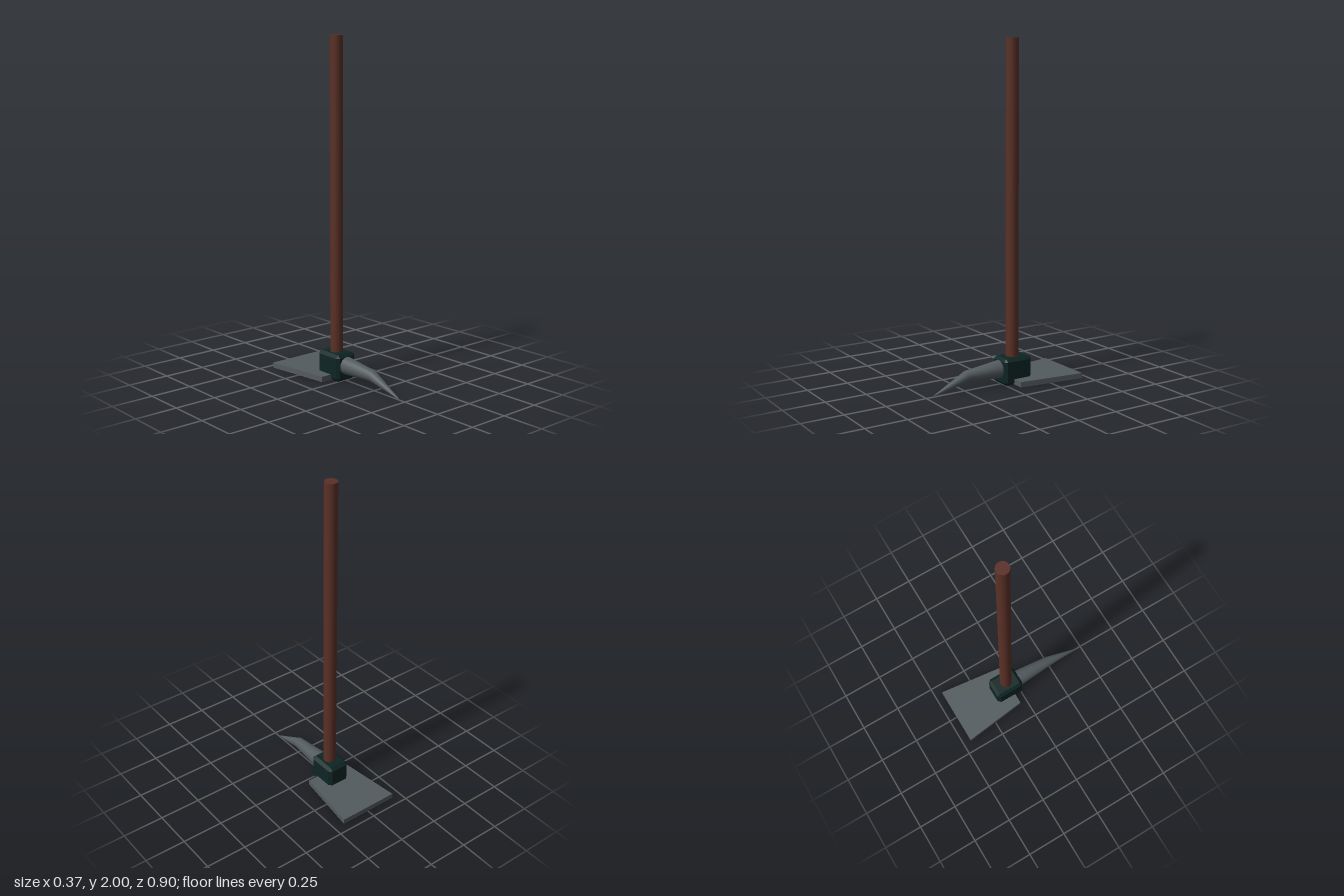
import * as THREE from 'three';
import { ConvexGeometry } from 'three/addons/geometries/ConvexGeometry.js';

const mat = (name, color, opts = {}) => {
  const m = new THREE.MeshStandardMaterial({ color, ...opts });
  m.name = name;
  return m;
};

// Box with every edge cut at 45 degrees
function chamferedBox(w, h, d, c) {
  const pts = [];
  for (const sx of [-1, 1]) for (const sy of [-1, 1]) for (const sz of [-1, 1]) {
    const x = w / 2, y = h / 2, z = d / 2;
    pts.push(
      new THREE.Vector3(sx * x, sy * (y - c), sz * (z - c)),
      new THREE.Vector3(sx * (x - c), sy * y, sz * (z - c)),
      new THREE.Vector3(sx * (x - c), sy * (y - c), sz * z));
  }
  return new ConvexGeometry(pts);
}

// Tapered horn: rings of [z, y, radius, tilt], closed at both ends
function horn(rings, sides) {
  const pos = [], idx = [];
  for (const [z, y, r, tilt] of rings) {
    for (let i = 0; i < sides; i++) {
      const a = (i / sides) * Math.PI * 2, v = Math.sin(a) * r;
      pos.push(Math.cos(a) * r, y + v * Math.cos(tilt), z + v * Math.sin(tilt));
    }
  }
  for (let k = 0; k < rings.length - 1; k++) {
    for (let i = 0; i < sides; i++) {
      const j = (i + 1) % sides, a = k * sides, b = a + sides;
      idx.push(a + i, a + j, b + j, a + i, b + j, b + i);
    }
  }
  const last = (rings.length - 1) * sides;
  for (let i = 1; i < sides - 1; i++) {
    idx.push(0, i + 1, i, last, last + i, last + i + 1);
  }
  const g = new THREE.BufferGeometry();
  g.setAttribute('position', new THREE.Float32BufferAttribute(pos, 3));
  g.setIndex(idx);
  g.computeVertexNormals();
  return g;
}

export function createModel() {
  const group = new THREE.Group();
  const wood = mat('wood', 0x5a3026);
  const socketIron = mat('dark iron', 0x0d2524);
  const steel = mat('steel', 0x535b5e);
  const add = (name, geo, material, x = 0, y = 0, z = 0) => {
    const mesh = new THREE.Mesh(geo, material);
    mesh.name = name;
    mesh.position.set(x, y, z);
    group.add(mesh);
  };

  // Long round handle standing in the socket
  add('handle', new THREE.CylinderGeometry(0.038, 0.038, 1.95, 16), wood, 0, 1.025, -0.075);

  // Chamfered socket block
  add('socket', chamferedBox(0.14, 0.16, 0.186, 0.018), socketIron, 0, 0.083, -0.077);

  // Flat blade, widening to the back
  const outline = new THREE.Shape([
    new THREE.Vector2(-0.137, 0.047), new THREE.Vector2(0.137, 0.047),
    new THREE.Vector2(0.186, 0.45), new THREE.Vector2(-0.186, 0.45)]);
  const blade = new THREE.ExtrudeGeometry(outline, { depth: 0.032, bevelEnabled: false });
  blade.rotateX(-Math.PI / 2);
  add('blade', blade, steel, 0, 0.008, 0);

  // Pick spike bending down to a point
  add('spike', horn([
    [-0.02, 0.096, 0.054, 0],
    [0.015, 0.095, 0.052, 0],
    [0.238, 0.087, 0.033, 0.16],
    [0.448, 0.009, 0.004, 0.3]], 16), steel);

  return group;
}
